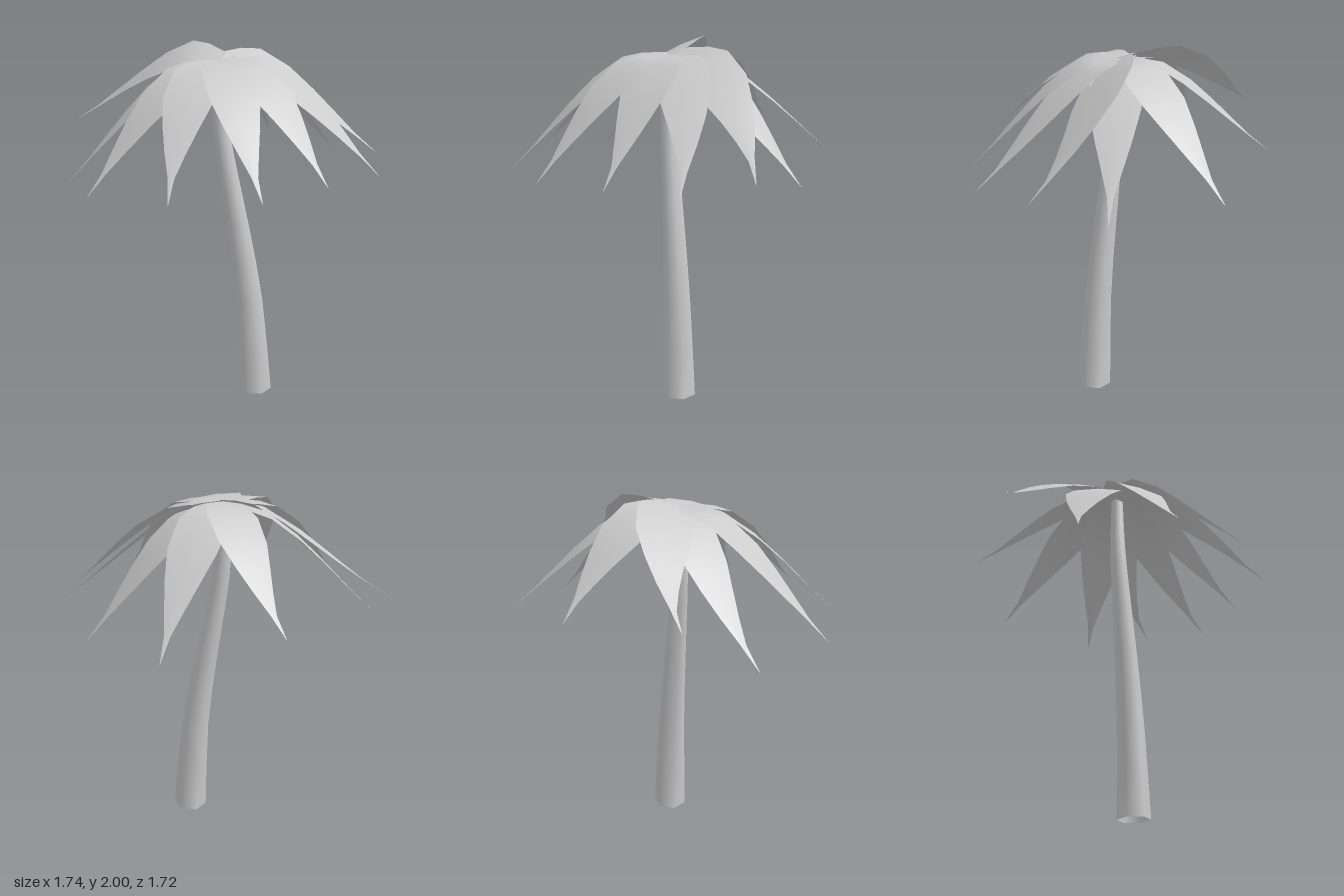
import * as THREE from 'three';

const material = new THREE.MeshStandardMaterial({ color: 0xcccccc, side: THREE.DoubleSide });
const CROWN = new THREE.Vector3(0, 1.925, 0.02);
const DROOP = 0.6;

// Frond stations from root to tip: [distance, half width, share of the droop]
const STATIONS = [
  [0, 0.09, 0], [0.15, 0.122, 0.015], [0.28, 0.14, 0.06], [0.47, 0.133, 0.25],
  [0.62, 0.095, 0.45], [0.75, 0.055, 0.64], [0.87, 0.017, 0.82], [1, 0.001, 1],
];

// Fronds: [tip x, tip y, tip z, sideways bend, sideways slope]
const FRONDS = [
  [-0.16, 1.33, 0.86, 0.05, 0.1],
  [0.295, 1.34, 0.82, 0.02, 0.05],
  [0.605, 1.36, 0.545, -0.025, -0.1],
  [0.865, 1.36, 0.235, -0.06, -0.2],
  [0.865, 1.4, -0.155, -0.1, -0.45],
  [0.66, 1.31, -0.49, -0.01, -0.1],
  [0.215, 1.38, -0.86, 0.015, 0],
  [-0.385, 1.47, -0.71, 0.05, 0.2],
  [-0.87, 1.54, -0.24, 0.09, 0.45],
  [-0.82, 1.27, 0.18, 0.07, 0.15],
  [-0.61, 1.3, 0.645, 0.02, 0.1],
];

// A drooping leaf: a plane strip bent along its stations and pitched to reach its tip
function makeFrond([tipX, tipY, tipZ, bend, slope]) {
  const reachX = tipX - CROWN.x, reachZ = tipZ - CROWN.z;
  const length = Math.hypot(reachX, reachZ);
  const sideX = -reachZ / length, sideZ = reachX / length;
  const pitch = tipY - CROWN.y + DROOP;
  const rows = STATIONS.length - 1;
  const geometry = new THREE.PlaneGeometry(2, 1, 2, rows);
  const pos = geometry.attributes.position;
  for (let i = 0; i < pos.count; i++) {
    const across = pos.getX(i); // -1, 0, 1
    const [t, half, droop] = STATIONS[rows - Math.floor(i / 3)];
    const side = across * half + bend * 4 * t * (1 - t);
    const y = CROWN.y + pitch * t - DROOP * droop
      + across * half * slope - Math.abs(across) * half * 0.08;
    pos.setXYZ(i, CROWN.x + reachX * t + sideX * side, y, CROWN.z + reachZ * t + sideZ * side);
  }
  geometry.computeVertexNormals();
  const mesh = new THREE.Mesh(geometry, material);
  mesh.name = 'frond';
  return mesh;
}

// Six-sided open trunk that leans and tapers towards the crown
function makeTrunk() {
  const sides = 6, rows = 10;
  const path = new THREE.SplineCurve([
    [0.205, 0], [0.168, 0.55], [0.1, 1], [0.035, 1.36], [0.0, 1.62], [-0.005, 1.915],
  ].map(([x, y]) => new THREE.Vector2(x, y)));
  const geometry = new THREE.CylinderGeometry(1, 1, 1, sides, rows, true);
  geometry.rotateY(Math.PI / 6);
  const pos = geometry.attributes.position;
  for (let i = 0; i < pos.count; i++) {
    const centre = path.getPoint(pos.getY(i) + 0.5);
    const radius = 0.095 - 0.032 * centre.y;
    const tilt = 0.005 * (1 + pos.getX(i)) * (1 - centre.y / 2); // slightly slanted foot
    pos.setXYZ(i, centre.x + pos.getX(i) * radius, centre.y + tilt, 0.026 + pos.getZ(i) * radius);
  }
  geometry.computeVertexNormals();
  // Share the normals along the seam so the trunk stays smooth all round
  const normals = geometry.attributes.normal;
  for (let row = 0; row <= rows; row++) {
    const first = row * (sides + 1), last = first + sides;
    const n = new THREE.Vector3().fromBufferAttribute(normals, first)
      .add(new THREE.Vector3().fromBufferAttribute(normals, last)).normalize();
    normals.setXYZ(first, n.x, n.y, n.z);
    normals.setXYZ(last, n.x, n.y, n.z);
  }
  const mesh = new THREE.Mesh(geometry, material);
  mesh.name = 'trunk';
  return mesh;
}

export function createModel() {
  const tree = new THREE.Group();
  tree.name = 'palmTree';
  const crown = new THREE.Group();
  crown.name = 'crown';
  FRONDS.forEach((frond) => crown.add(makeFrond(frond)));
  tree.add(makeTrunk(), crown);
  return tree;
}
